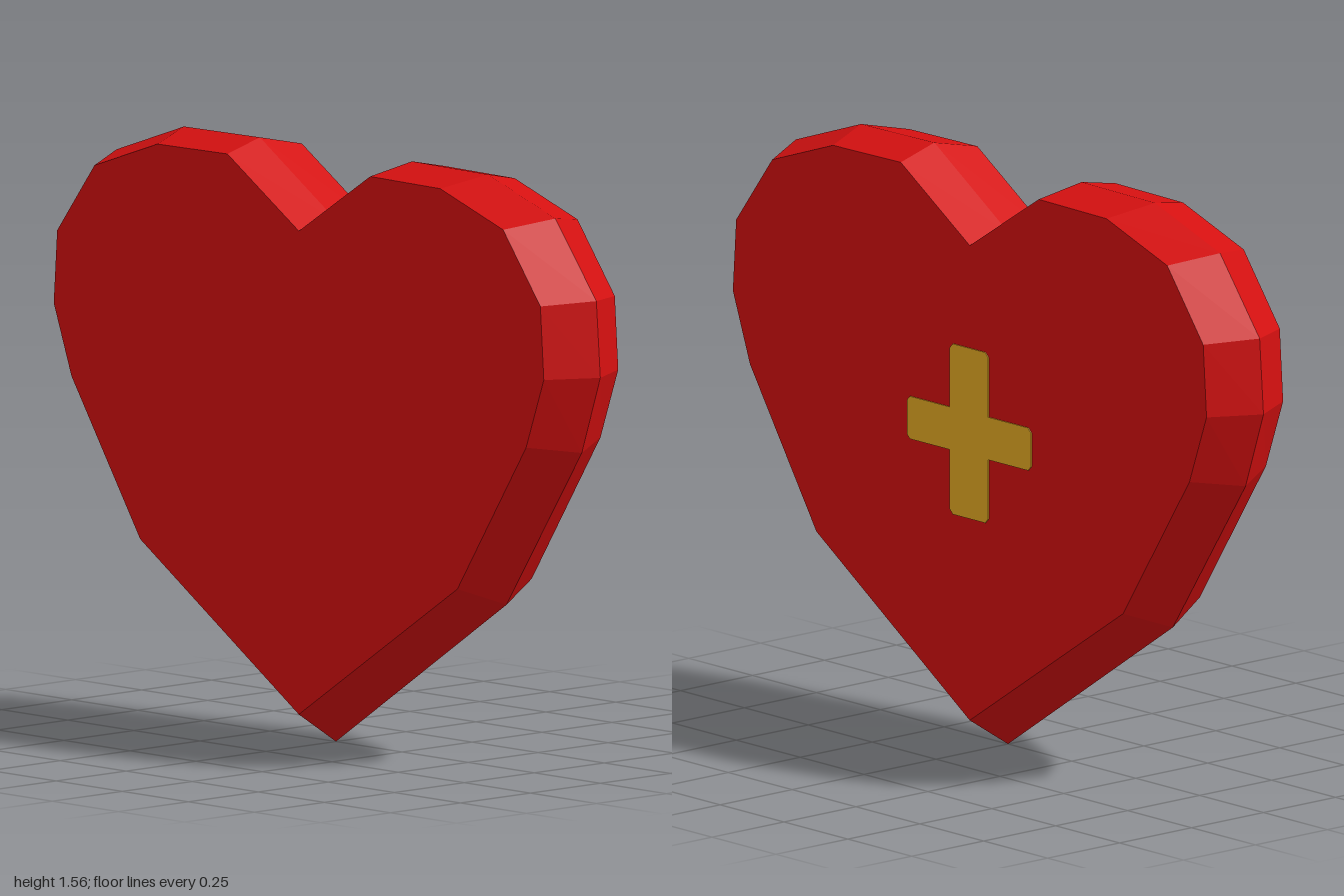
import * as THREE from 'three';

const HALF_DEPTH = 0.133;

// Right half of each outline, from the bottom tip up to the notch
const RIM = [[0, 0], [0.645, 0.43], [0.93, 0.86], [1, 1.065], [0.985, 1.265],
  [0.83, 1.465], [0.575, 1.553], [0.288, 1.556], [0, 1.37]];
const FACE = [[0, 0.085], [0.6, 0.48], [0.86, 0.88], [0.927, 1.065], [0.914, 1.257],
  [0.773, 1.443], [0.535, 1.525], [0.27, 1.528], [0, 1.355]];

// Mirror a half outline into a closed counter-clockwise loop
function mirrorLoop(half) {
  const left = half.slice(1, -1).reverse().map(([x, y]) => [-x, y]);
  return [...half, ...left];
}

// Sloped band from the widest rim to the edge of the flat face
function bevelGeometry(rim, face) {
  const positions = [];
  rim.forEach((a, i) => {
    const j = (i + 1) % rim.length;
    const b = rim[j], c = face[j], d = face[i];
    positions.push(...a, 0, ...b, 0, ...c, HALF_DEPTH);
    positions.push(...a, 0, ...c, HALF_DEPTH, ...d, HALF_DEPTH);
  });
  const geometry = new THREE.BufferGeometry();
  geometry.setAttribute('position', new THREE.Float32BufferAttribute(positions, 3));
  geometry.computeVertexNormals();
  return geometry;
}

// Plus outline with slightly clipped outer corners
function crossShape(halfWidth, halfHeight, armX, armY, clip) {
  const quarter = [[halfWidth, armY - clip], [halfWidth - clip, armY], [armX, armY],
    [armX, halfHeight - clip], [armX - clip, halfHeight]];
  const flipX = ([x, y]) => [-x, y];
  const flipY = ([x, y]) => [x, -y];
  const top = [...quarter, ...quarter.map(flipX).reverse()];
  const loop = [...top, ...top.map(flipY).reverse()];
  return new THREE.Shape(loop.map(([x, y]) => new THREE.Vector2(x, y)));
}

export function createModel() {
  const red = new THREE.MeshStandardMaterial({ color: 0xd41010 });
  red.name = 'heartRed';
  const gold = new THREE.MeshStandardMaterial({ color: 0xe4aa23 });
  gold.name = 'crossGold';

  const model = new THREE.Group();
  model.name = 'heart';

  const rim = mirrorLoop(RIM), face = mirrorLoop(FACE);
  const bevel = bevelGeometry(rim, face);
  const plate = new THREE.ShapeGeometry(
    new THREE.Shape(face.map(([x, y]) => new THREE.Vector2(x, y))));
  plate.translate(0, 0, HALF_DEPTH);

  // Two identical halves, back to back
  for (const side of ['front', 'back']) {
    const half = new THREE.Group();
    half.name = side + 'Half';
    half.rotation.y = side === 'back' ? Math.PI : 0;
    const bevelMesh = new THREE.Mesh(bevel, red);
    bevelMesh.name = side + 'Bevel';
    const faceMesh = new THREE.Mesh(plate, red);
    faceMesh.name = side + 'Face';
    half.add(bevelMesh, faceMesh);

    // Gold cross inlaid on the back face
    if (side === 'back') {
      const geometry = new THREE.ExtrudeGeometry(
        crossShape(0.243, 0.228, 0.075, 0.057, 0.012), { depth: 0.003, bevelEnabled: false });
      const cross = new THREE.Mesh(geometry, gold);
      cross.name = 'backCross';
      cross.position.set(0, 0.853, HALF_DEPTH);
      half.add(cross);
    }
    model.add(half);
  }
  return model;
}
